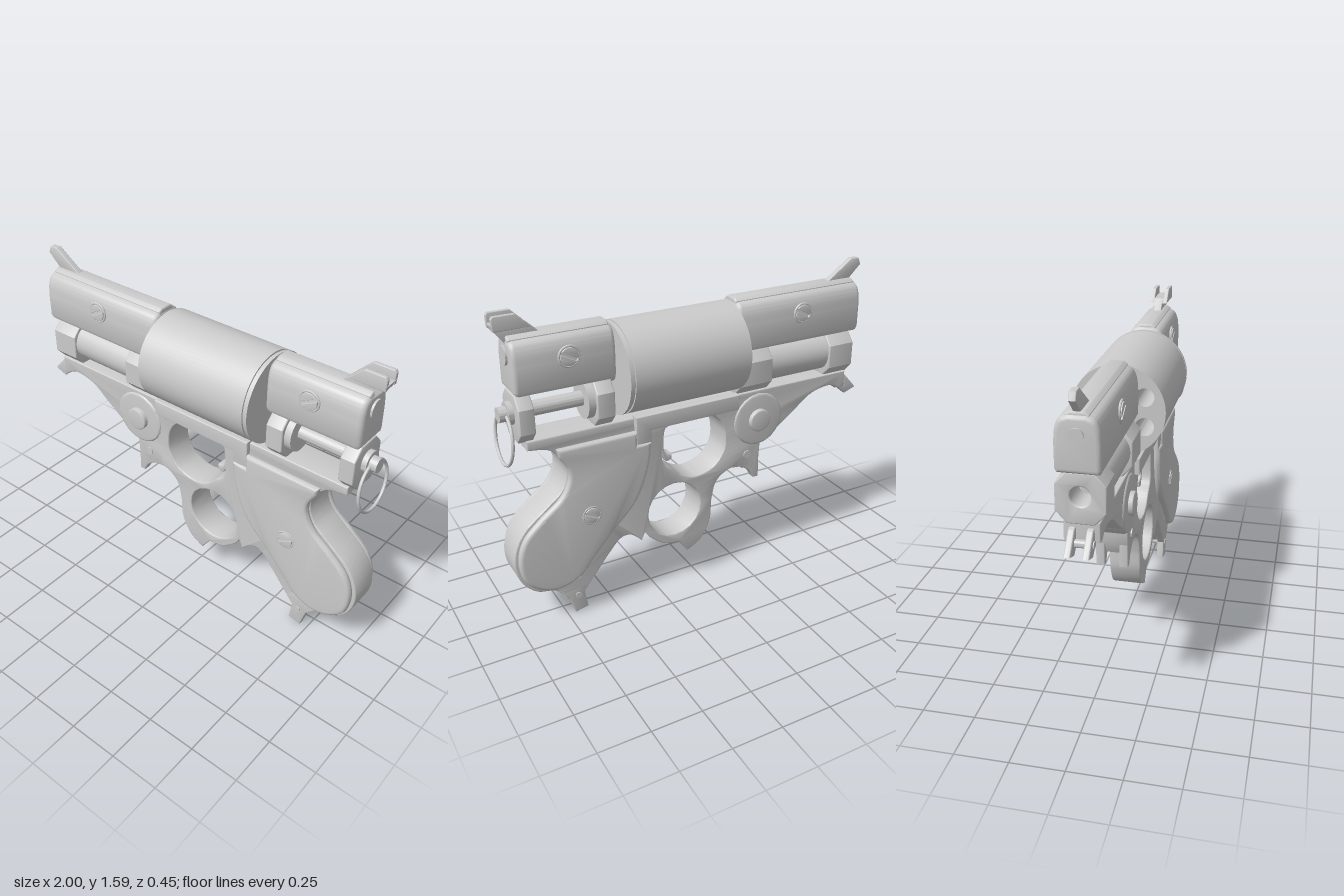
import * as THREE from 'three';
import { toCreasedNormals } from 'three/addons/utils/BufferGeometryUtils.js';

const mat = new THREE.MeshStandardMaterial({ color: 0xcccccc, side: THREE.DoubleSide });

export function createModel() {
  const root = new THREE.Group();

  const add = (name, geo, x = 0, y = 0, z = 0) => {
    const mesh = new THREE.Mesh(toCreasedNormals(geo, 0.6), mat);
    mesh.name = name;
    mesh.position.set(x, y, z);
    root.add(mesh);
    return mesh;
  };

  // Each run is a list of points: two are a straight edge, more are a smooth curve
  const outline = (runs, Type = THREE.Shape) => {
    const s = new Type();
    runs.forEach((run, i) => {
      const [first, ...rest] = run.map((p) => new THREE.Vector2(...p));
      if (i) s.lineTo(first.x, first.y); else s.moveTo(first.x, first.y);
      if (rest.length > 1) s.splineThru(rest);
      else rest.forEach((p) => s.lineTo(p.x, p.y));
    });
    return s;
  };
  const polygon = (pts) => outline(pts.map((p) => [p]));

  // Side-profile slab from z0 to z1 with softened edges
  const slab = (shape, z0, z1, bevel = 0.006) => new THREE.ExtrudeGeometry(shape, {
    depth: z1 - z0 - 2 * bevel, bevelEnabled: bevel > 0, bevelThickness: bevel, bevelSize: bevel,
    bevelOffset: -bevel, bevelSegments: 3, curveSegments: 10,
  }).translate(0, 0, z0 + bevel);

  // Cross-section swept along x
  const along = (shape, x0, x1, bevel = 0.006) => slab(shape, x0, x1, bevel).rotateY(Math.PI / 2);

  const rod = (r, length, axis = 'x', sides = 40) => {
    const g = new THREE.CylinderGeometry(r, r, length, sides);
    return axis === 'x' ? g.rotateZ(Math.PI / 2) : g.rotateX(Math.PI / 2);
  };
  const disc = (r, x = 0, y = 0, Type = THREE.Shape) => new Type().absarc(x, y, r, 0, Math.PI * 2, false);
  const mirrorSlab = (name, shape, z0, z1, bevel) => {
    add(name, slab(shape, z0, z1, bevel));
    add(name, slab(shape, -z1, -z0, bevel));
  };

  // Slotted screw head made of two half moons inside a collar
  const screw = (x, y, z, r) => {
    for (const side of [1, -1]) {
      add('screwCollar', new THREE.TorusGeometry(r, 0.006, 8, 32), x, y, side * z);
      for (const turn of [0.5, 0.5 + Math.PI]) {
        const half = new THREE.Shape().absarc(0, 0, r * 0.9, 0.16, Math.PI - 0.16, false);
        const g = slab(half, -0.01, 0.01, 0.002).rotateZ(turn);
        add('screwHead', g, x, y, side * z);
      }
    }
  };

  // Frame with trigger opening and lever loop
  const frame = outline([
    [[-0.9, 1], [-0.9, 0.91]],
    [[-0.87, 0.905], [-0.8, 0.935], [-0.68, 0.91], [-0.57, 0.83], [-0.47, 0.76]],
    [[-0.42, 0.71], [-0.37, 0.7]],
    [[-0.365, 0.62], [-0.335, 0.56]],
    [[-0.32, 0.56], [-0.27, 0.585], [-0.19, 0.59], [-0.11, 0.54], [-0.08, 0.44], [-0.07, 0.32], [-0.02, 0.22], [0.065, 0.165]],
    [[0.115, 0.235], [0.2, 0.25], [0.28, 0.31], [0.31, 0.355]],
    [[0.33, 0.31], [0.39, 0.36], [0.45, 0.355], [0.52, 0.28], [0.6, 0.18], [0.66, 0.12]],
    [[0.74, 0.11], [0.81, 0.165], [0.9, 0.19], [0.97, 0.26], [1, 0.36], [0.985, 0.46], [0.93, 0.55],
      [0.82, 0.64], [0.74, 0.71], [0.71, 0.79], [0.73, 0.87], [0.79, 0.935], [0.89, 0.955]],
    [[0.89, 1]],
  ]);
  frame.holes.push(
    outline([[[-0.08, 0.925], [0.15, 0.925]],
      [[0.2, 0.9], [0.21, 0.8], [0.2, 0.72], [0.15, 0.675], [0.09, 0.623], [0.01, 0.6], [-0.09, 0.63],
        [-0.15, 0.71], [-0.155, 0.8], [-0.13, 0.87], [-0.08, 0.925]]], THREE.Path),
    disc(0.15, 0.14, 0.44, THREE.Path),
  );
  add('frame', slab(frame, -0.08, 0.08));

  // Trigger
  add('trigger', slab(outline([
    [[0.13, 0.93], [0.165, 0.88], [0.175, 0.8], [0.165, 0.75], [0.13, 0.735]],
    [[0.13, 0.71], [0.15, 0.7], [0.17, 0.71], [0.2, 0.79], [0.195, 0.93]],
  ]), -0.035, 0.035));

  // Forked spurs at the front, under the hinge and at the butt
  mirrorSlab('frontSpur', polygon([[-0.84, 0.99], [-0.92, 0.97], [-1, 0.88], [-0.93, 0.855], [-0.87, 0.905], [-0.8, 0.935]]), 0.025, 0.055);
  mirrorSlab('hingeSpur', outline([[[-0.4, 0.74], [-0.365, 0.7]], [[-0.365, 0.5], [-0.335, 0.5]],
    [[-0.31, 0.545], [-0.26, 0.58], [-0.2, 0.59]], [[-0.2, 0.72]]]), 0.035, 0.08);
  mirrorSlab('buttSpur', polygon([[0.6, 0.18], [0.655, 0.11], [0.64, 0.015], [0.71, 0], [0.74, 0.1], [0.8, 0.16], [0.7, 0.22]]), 0.04, 0.08);
  add('frontSpurPin', rod(0.018, 0.12, 'z'), -0.92, 0.91);
  add('hingeSpurPin', rod(0.022, 0.172, 'z'), -0.29, 0.65);
  add('buttSpurPin', rod(0.017, 0.17, 'z'), 0.69, 0.1);

  // Hinge
  add('hingeDisc', slab(disc(0.145), -0.088, 0.088, 0.012), -0.35, 0.84);
  add('hingePin', slab(disc(0.06), -0.112, 0.112, 0.006), -0.35, 0.84);

  // Raised plate on each side of the rail
  mirrorSlab('railPlate', polygon([[-0.22, 1.01], [-0.22, 0.93], [0.275, 0.93], [0.275, 0.865], [0.355, 0.865], [0.355, 1.01]]), 0.06, 0.105, 0.004);

  // Grip panels
  const panel = outline([
    [[0.355, 0.94], [0.76, 0.94]],
    [[0.755, 0.9], [0.715, 0.83], [0.715, 0.76], [0.76, 0.68], [0.86, 0.6], [0.95, 0.51], [0.985, 0.4],
      [0.965, 0.285], [0.89, 0.215], [0.79, 0.19], [0.68, 0.23], [0.6, 0.32], [0.5, 0.43], [0.39, 0.54],
      [0.33, 0.64], [0.29, 0.77], [0.28, 0.87]],
    [[0.355, 0.87]],
  ]);
  mirrorSlab('gripPanel', panel, 0.075, 0.118, 0.018);
  screw(0.61, 0.56, 0.115, 0.045);

  // Upper blocks ahead of and behind the cylinder, each with a top rib
  const blockSection = outline([
    [[-0.1, 1.25], [-0.09, 1.23]], [[0.09, 1.23], [0.1, 1.25]],
    [[0.1, 1.36], [0.094, 1.42], [0.075, 1.462], [0.04, 1.48]],
    [[-0.04, 1.48], [-0.075, 1.462], [-0.094, 1.42], [-0.1, 1.36]],
  ]);
  const ribSection = polygon([[-0.05, 1.4], [0.05, 1.4], [0.05, 1.48], [0.03, 1.493], [-0.03, 1.493], [-0.05, 1.48]]);
  for (const [name, x0, x1] of [['barrelBlock', -0.95, -0.215], ['rearBlock', 0.44, 0.93]]) {
    add(name, along(blockSection, x0, x1, 0.022));
    add(name + 'Rib', along(ribSection, x0 + 0.012, x1 - 0.004, 0.008));
  }
  screw(-0.585, 1.38, 0.1, 0.048);
  screw(0.67, 1.38, 0.1, 0.048);
  add('rearButton', rod(0.045, 0.03), 0.925, 1.4);
  add('frontButton', rod(0.03, 0.02), -0.948, 1.4);

  // Cylinder with six open chambers
  const drum = disc(0.225);
  for (let i = 0; i < 6; i++) {
    const a = (i + 0.5) * Math.PI / 3;
    drum.holes.push(disc(0.045, 0.145 * Math.cos(a), 0.145 * Math.sin(a), THREE.Path));
  }
  const drumGeo = new THREE.ExtrudeGeometry(drum, { depth: 0.615, bevelEnabled: false, curveSegments: 36 });
  add('cylinder', drumGeo.rotateY(Math.PI / 2), -0.21, 1.245);
  add('cylinderSeam', rod(0.217, 0.012, 'x', 64), 0.41, 1.245);
  add('cylinderBackPlate', rod(0.225, 0.016, 'x', 64), 0.423, 1.245);
  add('cylinderAxle', rod(0.06, 0.68), 0.11, 1.245);

  // Lower barrel: octagonal lugs joined by a round tube
  const octagon = (hole) => {
    const s = polygon([[-0.06, 0.995], [0.06, 0.995], [0.11, 1.05], [0.11, 1.17], [0.06, 1.225], [-0.06, 1.225], [-0.11, 1.17], [-0.11, 1.05]]);
    if (hole) s.holes.push(disc(hole, 0, 1.12, THREE.Path));
    return s;
  };
  add('muzzleLug', along(octagon(0.045), -0.915, -0.765));
  add('lowerBarrel', rod(0.1, 0.4), -0.58, 1.12);
  add('barrelLug', along(octagon(), -0.41, -0.22));

  // Ejector rod, its brackets and pull ring
  add('frontBracket', along(octagon(), 0.46, 0.55));
  add('bracketCollar', rod(0.095, 0.05), 0.56, 1.12);
  add('rearBracket', along(octagon(), 0.85, 0.925));
  add('ejectorRod', rod(0.036, 0.54), 0.7, 1.125);
  add('rodCollar', rod(0.055, 0.03), 0.935, 1.125);
  add('rodKnob', rod(0.036, 0.025), 0.975, 1.125);
  const ring = add('pullRing', new THREE.TorusGeometry(0.124, 0.008, 10, 48).rotateY(Math.PI / 2), 0.968, 1.005);
  ring.rotation.z = 0.1;

  // Sights
  add('frontSight', slab(polygon([[-0.92, 1.48], [-1, 1.555], [-0.985, 1.59], [-0.94, 1.592], [-0.78, 1.48]]), -0.016, 0.016, 0.004));
  add('rearSightStem', slab(polygon([[0.76, 1.48], [0.83, 1.545], [0.985, 1.545], [0.975, 1.52], [0.93, 1.46]]), -0.02, 0.02, 0.003));
  add('rearSightBridge', slab(polygon([[0.81, 1.525], [0.835, 1.548], [0.988, 1.548], [0.98, 1.522]]), -0.045, 0.045, 0.003));
  mirrorSlab('rearSightProng', polygon([[0.81, 1.525], [0.88, 1.592], [0.98, 1.592], [0.988, 1.58], [0.985, 1.525]]), 0.026, 0.046, 0.003);

  return root;
}
